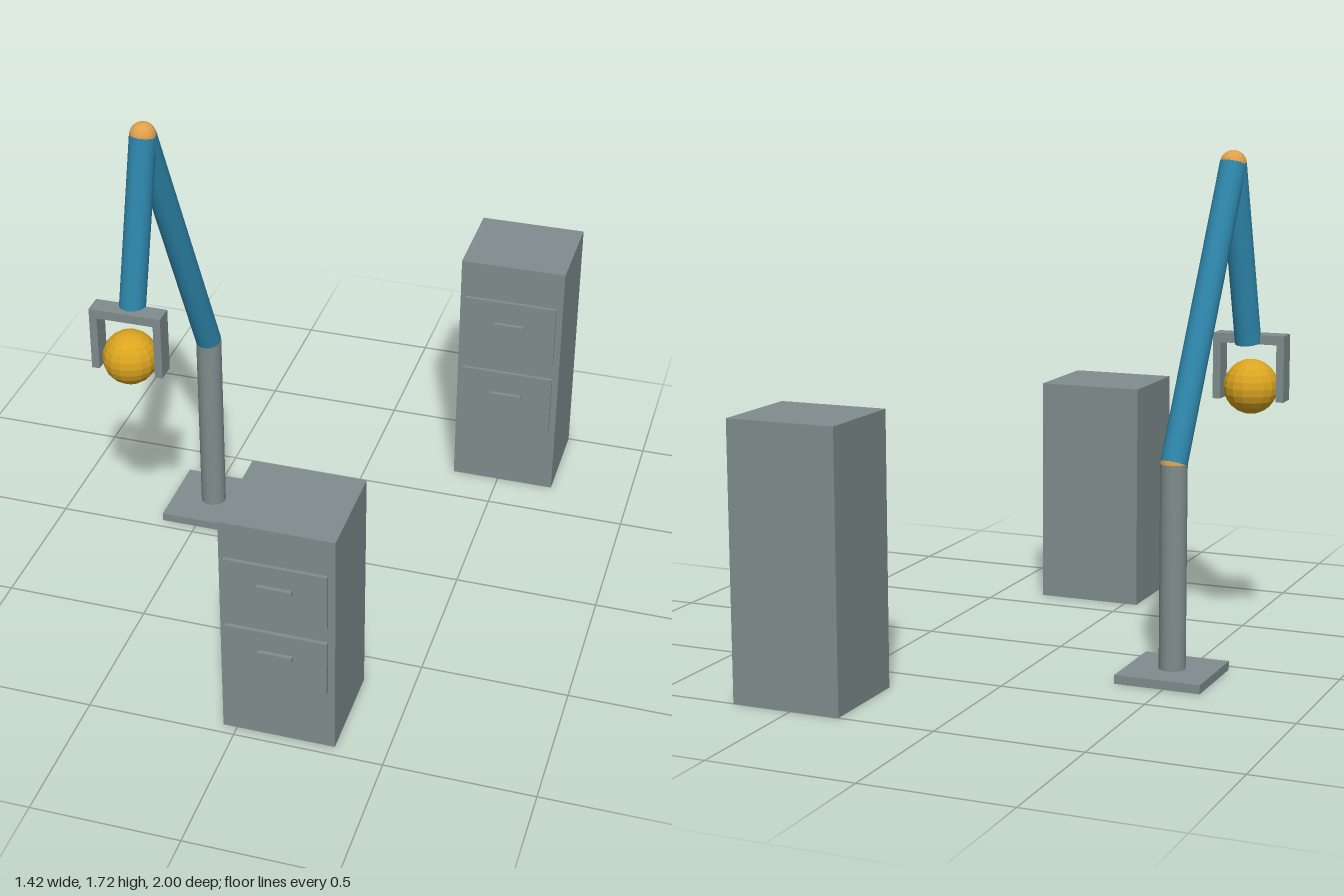
import * as THREE from 'three';

const mat = (name, color, extra = {}) => {
  const m = new THREE.MeshStandardMaterial({ color, ...extra });
  m.name = name;
  return m;
};

export function createModel() {
  const grey = mat('grey metal', 0x7f8c8d);
  const blue = mat('blue paint', 0x2e86ab);
  const orange = mat('orange joint', 0xe0a04c, { flatShading: true });
  const gold = mat('gold ball', 0xdaa520, { flatShading: true });

  const model = new THREE.Group();
  model.name = 'robotArmAndCabinets';

  const add = (parent, name, geometry, material, x, y, z) => {
    const mesh = new THREE.Mesh(geometry, material);
    mesh.name = name;
    mesh.position.set(x, y, z);
    parent.add(mesh);
    return mesh;
  };
  const box = (parent, name, w, h, d, x, y, z) =>
    add(parent, name, new THREE.BoxGeometry(w, h, d), grey, x, y, z);

  // round bar between two points
  const bar = (parent, name, a, b, r, material) => {
    const dir = b.clone().sub(a);
    const mid = a.clone().add(b).multiplyScalar(0.5);
    const mesh = add(parent, name, new THREE.CylinderGeometry(r, r, dir.length(), 24), material, mid.x, mid.y, mid.z);
    mesh.quaternion.setFromUnitVectors(new THREE.Vector3(0, 1, 0), dir.normalize());
  };

  // arm: base, column and two links
  const arm = new THREE.Group();
  arm.name = 'robotArm';
  model.add(arm);
  const foot = new THREE.Vector3(-0.479, 0.03, -0.185);
  const shoulder = new THREE.Vector3(-0.479, 0.72, -0.185);
  const elbow = new THREE.Vector3(-0.556, 1.676, 0.155);
  const wrist = new THREE.Vector3(-0.584, 1.065, 0.257);
  const R = 0.045;
  box(arm, 'basePlate', 0.296, 0.03, 0.296, foot.x, 0.015, foot.z);
  bar(arm, 'column', foot, shoulder, R, grey);
  bar(arm, 'upperArm', shoulder, elbow, R, blue);
  bar(arm, 'forearm', elbow, wrist, R, blue);
  for (const [name, p] of [['shoulderJoint', shoulder], ['elbowJoint', elbow]])
    add(arm, name, new THREE.SphereGeometry(R, 16, 12), orange, p.x, p.y, p.z);

  // gripper holding a ball
  const gripper = new THREE.Group();
  gripper.name = 'gripper';
  gripper.position.set(-0.587, 0, 0.285);
  arm.add(gripper);
  box(gripper, 'palm', 0.252, 0.032, 0.07, 0, 1.078, 0);
  for (const side of [-1, 1])
    box(gripper, side < 0 ? 'rightFinger' : 'leftFinger', 0.027, 0.195, 0.07, side * 0.1125, 0.9645, 0);
  add(gripper, 'ball', new THREE.SphereGeometry(0.094, 16, 12), gold, 0, 0.911, 0);

  // cabinets with two drawers each; front is the z of the body's face
  const cabinet = (name, x, front, height, drawerHeight, drawerYs) => {
    const g = new THREE.Group();
    g.name = name;
    g.position.set(x, 0, front);
    model.add(g);
    box(g, 'body', 0.378, height, 0.345, 0, height / 2, -0.1725);
    drawerYs.forEach((y, i) => {
      box(g, `drawerFront${i + 1}`, 0.336, drawerHeight, 0.013, 0, y, 0.0155);
      box(g, `handle${i + 1}`, 0.115, 0.015, 0.014, 0, y + 0.021, 0.029);
    });
  };
  cabinet('frontCabinet', 0.142, 0.963, 0.814, 0.202, [0.332, 0.591]);
  cabinet('backCabinet', 0.518, -0.655, 0.922, 0.229, [0.374, 0.671]);

  return model;
}
